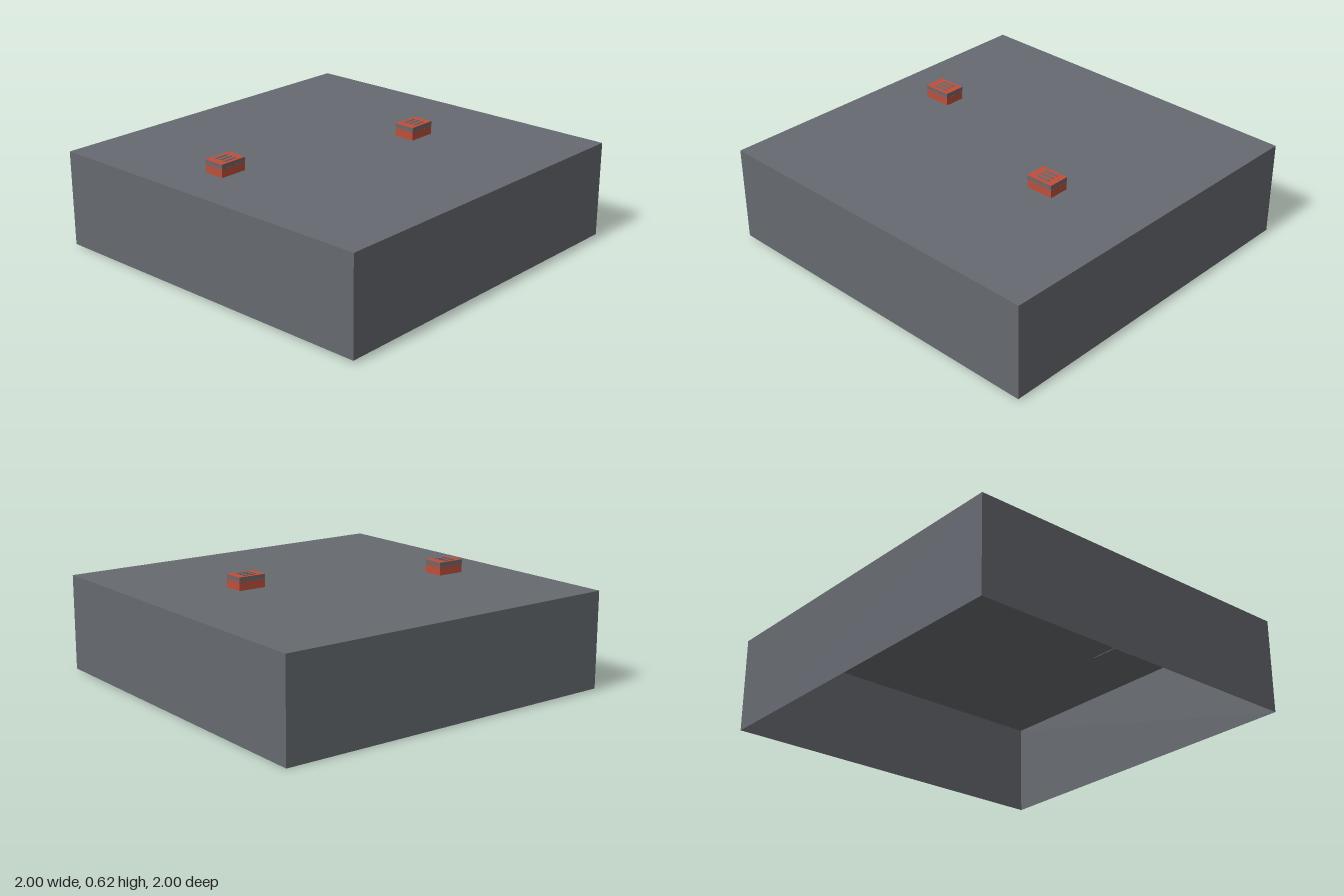
import * as THREE from 'three';

const grey = new THREE.MeshStandardMaterial({ color: 0x666a70, side: THREE.DoubleSide });
grey.name = 'slate grey';
const red = new THREE.MeshStandardMaterial({ color: 0xbf4f3a });
red.name = 'brick red';

// Very slight slope of the whole slab towards the back right corner
const slope = (x, z) => 0.009 + 0.0045 * (x + z);

function addBox(parent, name, material, size, y0, x = 0, z = 0) {
  const mesh = new THREE.Mesh(new THREE.BoxGeometry(...size), material);
  mesh.name = name;
  mesh.position.set(x, y0 + size[1] / 2, z);
  parent.add(mesh);
}

// Thin shell with four walls and a roof, open underneath
function createShell() {
  const height = 0.53;
  const geo = new THREE.BoxGeometry(2, height, 2);
  const index = Array.from(geo.index.array);
  index.splice(18, 6); // remove the bottom face
  geo.setIndex(index);
  geo.clearGroups();
  const p = geo.attributes.position;
  for (let i = 0; i < p.count; i++) {
    p.setY(i, p.getY(i) + height / 2 + slope(p.getX(i), p.getZ(i)));
  }
  geo.computeVertexNormals();
  const shell = new THREE.Mesh(geo, grey);
  shell.name = 'openBase';
  return shell;
}

// Small roof unit: red body, grey bands and three slats on a red lid
function createRoofUnit(x, z) {
  const unit = new THREE.Group();
  unit.name = 'roofUnit';
  addBox(unit, 'unitBody', red, [0.118, 0.053, 0.158], 0);
  addBox(unit, 'trimBand', grey, [0.12, 0.005, 0.16], 0.041);
  addBox(unit, 'cap', grey, [0.12, 0.017, 0.16], 0.052);
  addBox(unit, 'lid', red, [0.12, 0.003, 0.16], 0.069);
  for (const dx of [-0.031, 0, 0.031]) {
    addBox(unit, 'slat', grey, [0.014, 0.005, 0.08], 0.07, dx);
  }
  unit.position.set(x, 0.541, z);
  return unit;
}

export function createModel() {
  const model = new THREE.Group();
  model.name = 'model';
  model.add(createShell());
  model.add(createRoofUnit(0.17, -0.42));
  model.add(createRoofUnit(-0.17, 0.66));
  // Flat plate under the roof
  addBox(model, 'undersidePlate', grey, [0.12, 0.004, 0.16], 0.537, 0.66, 0.16);
  return model;
}
